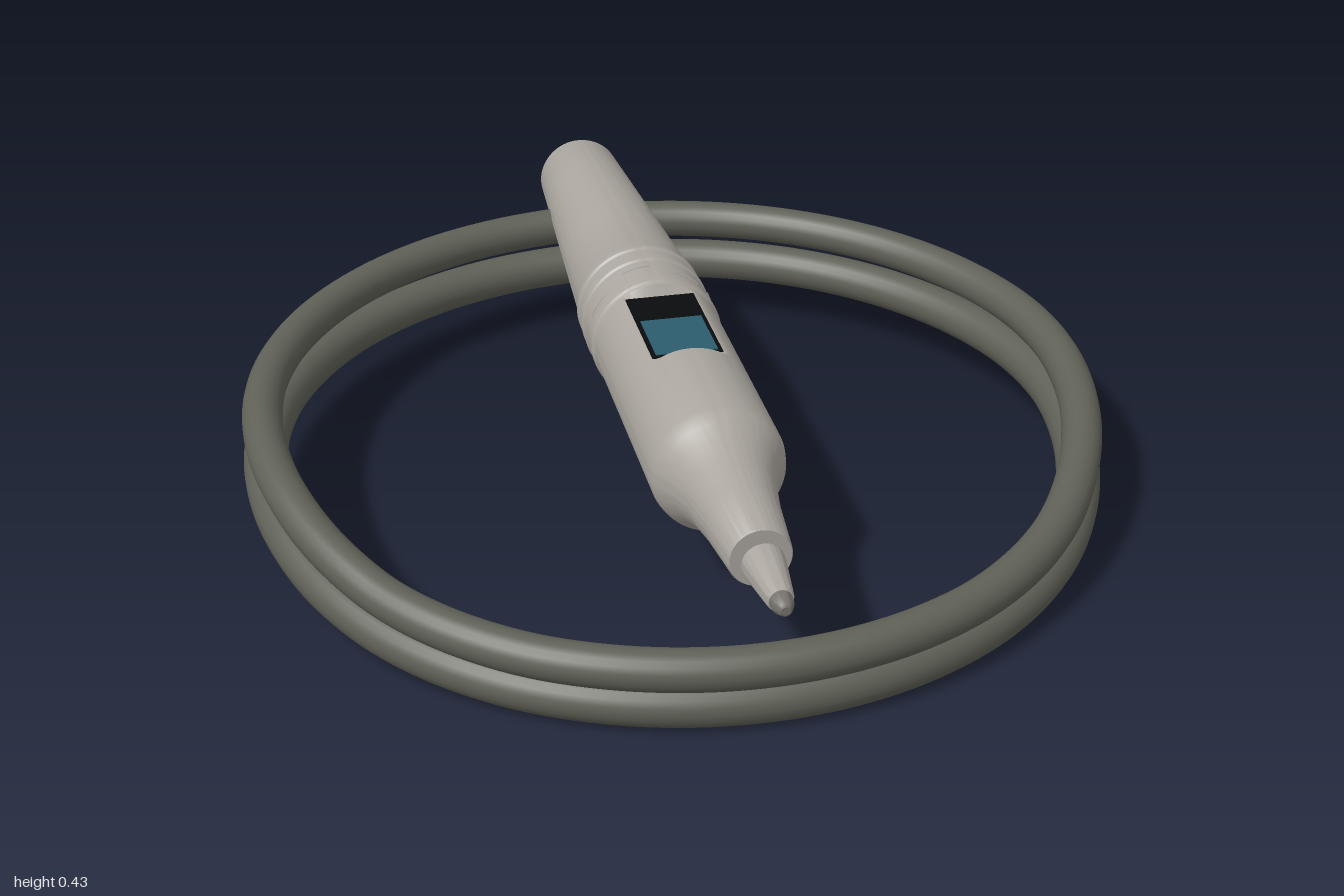
import * as THREE from 'three';
import { toCreasedNormals } from 'three/addons/utils/BufferGeometryUtils.js';

const AXIS_Y = 0.282;
const FLAT = 0.113; // height of the flat window recess above the axis

const material = (name, color) => {
  const m = new THREE.MeshStandardMaterial({ color });
  m.name = name;
  return m;
};

function addMesh(parent, name, geometry, mat) {
  const mesh = new THREE.Mesh(geometry, mat);
  mesh.name = name;
  parent.add(mesh);
  return mesh;
}

// Turned part along z; profile is [z, radius] from back to front
function turned(profile) {
  const pts = profile.map(([z, r]) => new THREE.Vector2(r, z));
  return new THREE.LatheGeometry(pts, 96).rotateX(Math.PI / 2);
}

// Closed cable loop that lies low at the front and rises at the back
function cableLoop(yFront, heights, radius) {
  const pts = [];
  const n = 48;
  for (let i = 0; i < n; i++) {
    const a = (i / n) * Math.PI * 2;
    const z = 0.058 + 0.868 * Math.cos(a);
    const t = THREE.MathUtils.clamp((0.97 - z) / 1.07, 0, 1) * (heights.length - 1);
    const k = Math.min(Math.floor(t), heights.length - 2);
    const y = yFront + THREE.MathUtils.lerp(heights[k], heights[k + 1], t - k);
    pts.push(new THREE.Vector3(0.859 * Math.sin(a), y, z));
  }
  return new THREE.TubeGeometry(new THREE.CatmullRomCurve3(pts, true), 192, radius, 20, true);
}

export function createModel() {
  const shell = material('warm grey shell', 0xaaa59e);
  const cable = material('dark olive cable', 0x5f6056);
  const black = material('black', 0x0a0b0c);
  const teal = material('teal display', 0x2c5c6e);
  const nibGrey = material('nib grey', 0x75726c);

  const model = new THREE.Group();
  model.name = 'penWithCable';
  const pen = new THREE.Group();
  pen.name = 'pen';
  pen.position.y = AXIS_Y;
  model.add(pen);

  // Pen body, with a flat recess pressed into the top
  let body = turned([
    [-0.97, 0.066], [-1, 0.07], [-1, 0.092], [-0.99, 0.096], [-0.8, 0.107], [-0.5, 0.124], [-0.29, 0.136],
    [-0.28, 0.141], [-0.265, 0.141], [-0.26, 0.137], [-0.225, 0.138], [-0.22, 0.143], [-0.205, 0.143],
    [-0.2, 0.139], [-0.12, 0.14], [-0.115, 0.143], [-0.095, 0.143], [-0.09, 0.139], [-0.085, 0.138],
    [-0.07, 0.138], [0.205, 0.138], [0.22, 0.138], [0.47, 0.138], [0.49, 0.134], [0.505, 0.124],
    [0.54, 0.106], [0.59, 0.09], [0.67, 0.077], [0.81, 0.063], [0.815, 0.06], [0.815, 0.03],
  ]);
  const p = body.attributes.position;
  for (let i = 0; i < p.count; i++) {
    if (p.getZ(i) > -0.075 && p.getZ(i) < 0.21) p.setY(i, Math.min(p.getY(i), FLAT));
  }
  body = toCreasedNormals(body, 0.5);
  addMesh(pen, 'body', body, shell);

  // Raised pads around the grip band
  for (let i = 0; i < 8; i++) {
    const pad = new THREE.TorusGeometry(0.139, 0.005, 6, 12, 0.45);
    const mesh = addMesh(pen, 'gripPad', pad, shell);
    mesh.rotation.z = (i / 8) * Math.PI * 2;
    mesh.position.z = i % 2 ? -0.145 : -0.175;
  }

  // Front nozzle and nib
  const nozzle = toCreasedNormals(turned([
    [0.8, 0.03], [0.832, 0.03], [0.832, 0.042], [0.85, 0.041], [0.955, 0.027], [0.965, 0.024], [0.965, 0],
  ]), 0.5);
  addMesh(pen, 'nozzle', nozzle, shell);
  const nib = toCreasedNormals(turned([[0.96, 0.023], [0.98, 0.021], [0.997, 0.013], [1, 0.009], [1, 0]]), 0.5);
  addMesh(pen, 'nib', nib, nibGrey);

  // Dark rear socket
  const socket = addMesh(pen, 'rearSocket', new THREE.CircleGeometry(0.068, 48), black);
  socket.rotation.y = Math.PI;
  socket.position.z = -0.98;

  // Display window: black surround with a teal screen
  const surround = addMesh(pen, 'displaySurround', new THREE.BoxGeometry(0.148, 0.004, 0.274), black);
  surround.position.set(0, FLAT + 0.001, 0.067);
  const screen = addMesh(pen, 'displayScreen', new THREE.BoxGeometry(0.13, 0.004, 0.155), teal);
  screen.position.set(0, FLAT + 0.003, 0.118);

  // Two coiled turns of cable
  addMesh(model, 'lowerCable', cableLoop(0.044, [0, 0.005, 0.016, 0.038, 0.064, 0.084, 0.092], 0.046), cable);
  addMesh(model, 'upperCable', cableLoop(0.117, [0, 0.006, 0.024, 0.062, 0.096, 0.115, 0.124], 0.042), cable);

  return model;
}
